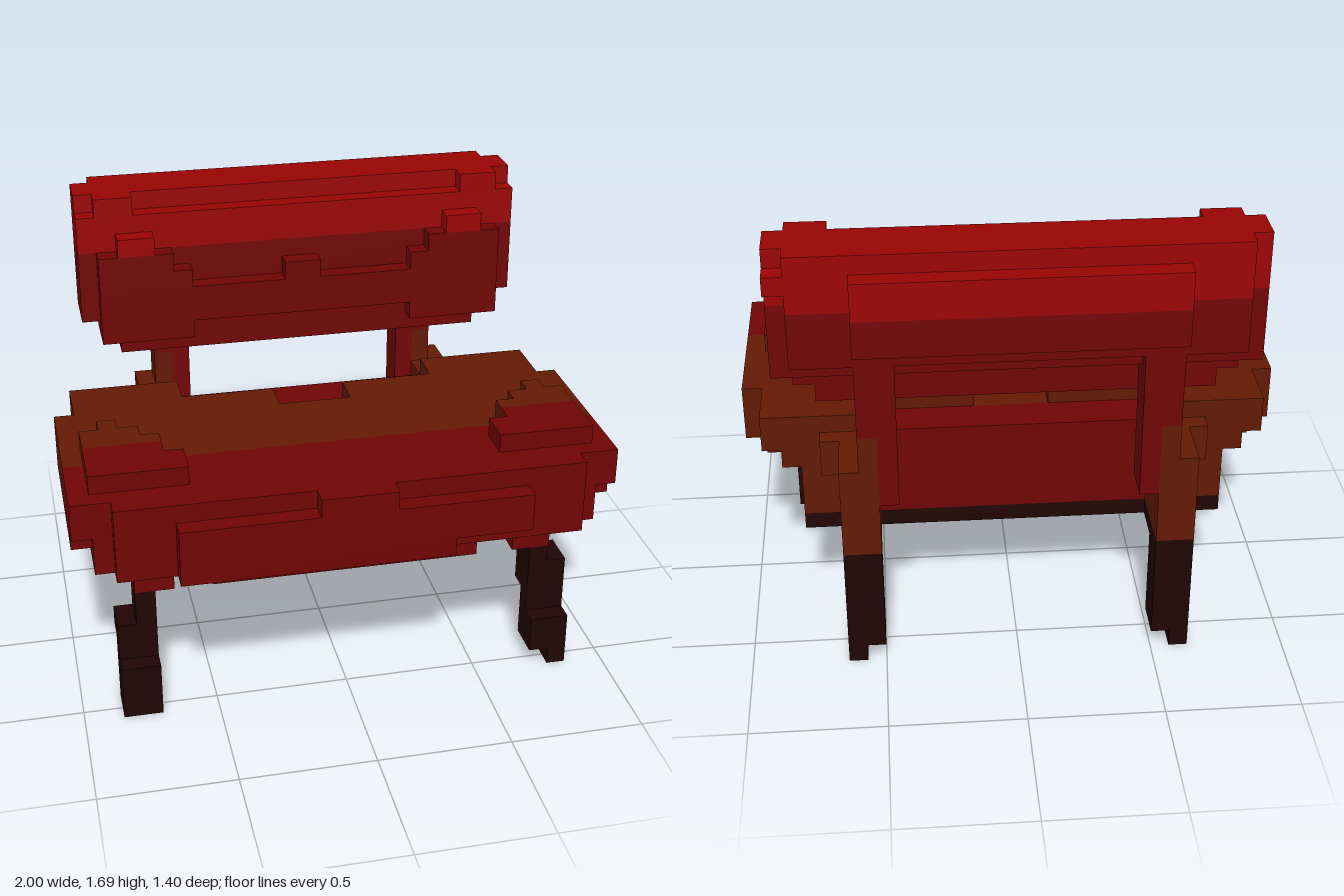
import * as THREE from 'three';

export function createModel() {
  const group = new THREE.Group();
  const mat = (name, color) => {
    const m = new THREE.MeshStandardMaterial({ color });
    m.name = name;
    return m;
  };
  const bright = mat('bright red', 0x9a0404);
  const red = mat('dark red', 0x710505);
  const brown = mat('brown', 0x631a04);
  const dark = mat('dark wood', 0x210505);

  // Axis-aligned block from its limits
  function block(name, m, x0, x1, y0, y1, z0, z1) {
    const mesh = new THREE.Mesh(new THREE.BoxGeometry(x1 - x0, y1 - y0, z1 - z0), m);
    mesh.position.set((x0 + x1) / 2, (y0 + y1) / 2, (z0 + z1) / 2);
    mesh.name = name;
    group.add(mesh);
  }
  // Block centred on x = 0
  const mid = (name, m, w, ...r) => block(name, m, -w, w, ...r);
  // Block and its mirror image
  const pair = (name, m, x0, x1, ...r) => {
    block(name + 'Left', m, x0, x1, ...r);
    block(name + 'Right', m, -x1, -x0, ...r);
  };

  // Seat front, stepped towards its edges
  const S = 0.275;
  for (const [w, y0, y1, z] of [
    [1, 0.70, 0.775, 0.49], [1, 0.775, 0.915, 0.56], [0.925, 0.63, 0.915, 0.56],
    [0.855, 0.63, 0.915, 0.63], [0.64, 0.70, 0.845, 0.70], [0.14, 0.845, 0.915, 0.70],
    [0.785, 0.56, 0.70, 0.49], [0.14, 0.56, 0.63, 0.56],
  ]) mid('seatFront', red, w, y0, y1, S, z);
  block('seatFrontLip', red, -0.64, 0.355, 0.63, 0.70, 0.63, 0.70);
  mid('frontApron', red, 0.5, 0.49, 0.57, S + 0.005, 0.49);
  mid('apronBacking', brown, 0.5, 0.49, 0.57, 0.21, S + 0.005);
  pair('legSocket', red, 0.64, 0.785, 0.49, 0.57, S, 0.49);

  // Seat rear, with a shallow notch in the middle of its back edge
  for (const [w, y0, y1] of [
    [1, 0.70, 0.915], [0.925, 0.63, 0.915], [0.785, 0.56, 0.70],
  ]) mid('seatRear', brown, w, y0, y1, -0.07, S);
  pair('seatRearSide', brown, 0.14, 1, 0.70, 0.915, -0.14, -0.07);
  pair('seatRearUnderside', brown, 0.14, 0.925, 0.63, 0.70, -0.14, -0.07);
  mid('seatNotch', brown, 0.14, 0.56, 0.845, -0.21, -0.07);
  pair('seatBackEdge', brown, 0.14, 0.5, 0.56, 0.915, -0.21, -0.07);
  pair('seatCorner', brown, 0.5, 0.925, 0.775, 0.915, -0.355, -0.14);
  pair('seatCornerMiddle', brown, 0.5, 0.855, 0.70, 0.775, -0.355, -0.14);
  pair('seatCornerLower', brown, 0.5, 0.785, 0.49, 0.70, -0.355, -0.14);
  pair('seatCornerStep', brown, 0.5, 0.71, 0.70, 0.845, -0.42, -0.355);
  pair('postBracket', brown, 0.5, 0.64, 0.49, 0.845, -0.49, -0.355);
  pair('sideSkirt', brown, 0.64, 0.71, 0.49, 0.56, -0.14, S);
  mid('rearPanel', red, 0.5, 0.49, 0.845, -0.355, -0.21);
  mid('rearRail', dark, 0.785, 0.425, 0.49, -0.355, -0.21);
  pair('rearRailEnd', dark, 0.5, 0.64, 0.425, 0.49, -0.49, -0.355);

  // Raised pads on the seat sides, split where the colour changes
  pair('sidePadFront', red, 0.57, 0.925, 0.91, 0.985, 0.35, 0.49);
  pair('sidePadFront', red, 0.64, 0.925, 0.91, 0.985, S, 0.35);
  pair('sidePadRear', brown, 0.64, 0.925, 0.91, 0.985, 0.21, S);
  pair('sidePadRear', brown, 0.71, 0.925, 0.91, 0.985, 0.14, 0.21);
  pair('sidePadRear', brown, 0.785, 0.855, 0.91, 0.985, 0.07, 0.14);

  // Rear legs and the posts that carry the backrest
  pair('rearFoot', dark, 0.57, 0.64, 0, 0.07, -0.63, -0.49);
  pair('rearLeg', dark, 0.5, 0.64, 0.07, 0.49, -0.63, -0.49);
  pair('post', brown, 0.5, 0.64, 0.49, 0.845, -0.63, -0.49);
  pair('postMiddle', brown, 0.5, 0.57, 0.845, 0.985, -0.63, -0.49);
  pair('postInner', red, 0.43, 0.5, 0.70, 0.985, -0.63, -0.49);
  pair('postTop', red, 0.43, 0.57, 0.985, 1.34, -0.63, -0.49);

  // Splayed front legs, slightly different from each other
  block('frontFootLeft', dark, 0.785, 0.855, 0, 0.07, 0.42, 0.56);
  block('frontFootRight', dark, -0.855, -0.71, 0, 0.07, 0.42, 0.56);
  pair('frontAnkle', dark, 0.71, 0.855, 0.07, 0.21, 0.42, 0.56);
  pair('frontShin', dark, 0.71, 0.855, 0.21, 0.355, 0.42, 0.49);
  pair('frontShinBack', dark, 0.71, 0.855, 0.28, 0.355, 0.35, 0.42);
  pair('frontThigh', dark, 0.71, 0.785, 0.355, 0.49, 0.35, 0.49);
  block('frontKneeLeft', dark, 0.785, 0.855, 0.355, 0.425, 0.35, 0.49);

  // Backrest, lower dark part
  const T = 1.48;
  for (const [w, y0, y1, z0, z1] of [
    [0.855, 1.20, T, -0.56, -0.355], [0.785, 1.27, T, -0.63, -0.355],
    [0.785, 1.13, 1.30, -0.49, -0.355], [0.71, 1.06, 1.20, -0.49, -0.355],
    [0.57, 1.34, T, -0.70, -0.63], [0.785, 1.20, 1.34, -0.355, -0.285],
  ]) mid('backrest', red, w, y0, y1, z0, z1);
  pair('backrestFrontEdge', red, 0.5, 0.785, 1.34, T, -0.355, -0.285);
  pair('backrestFrontEdge', red, 0.43, 0.5, 1.34, 1.41, -0.355, -0.285);
  pair('backrestFrontLower', red, 0.43, 0.785, 1.13, 1.20, -0.355, -0.285);
  mid('backrestFrontTab', red, 0.07, 1.34, 1.41, -0.355, -0.285);

  // Backrest, upper bright part
  for (const [w, y0, y1, z0, z1] of [
    [0.855, T, 1.62, -0.56, -0.355], [0.785, T, 1.69, -0.63, -0.42],
    [0.855, 1.62, 1.69, -0.56, -0.42], [0.57, T, 1.62, -0.70, -0.63],
  ]) mid('backrestTop', bright, w, y0, y1, z0, z1);
  pair('backrestTopCorner', bright, 0.64, 0.785, 1.62, 1.69, -0.42, -0.355);
  pair('backrestKnob', bright, 0.57, 0.71, T, 1.55, -0.355, -0.285);
  block('backrestRearKnob', bright, 0.785, 0.855, 1.55, 1.62, -0.63, -0.56);

  return group;
}
